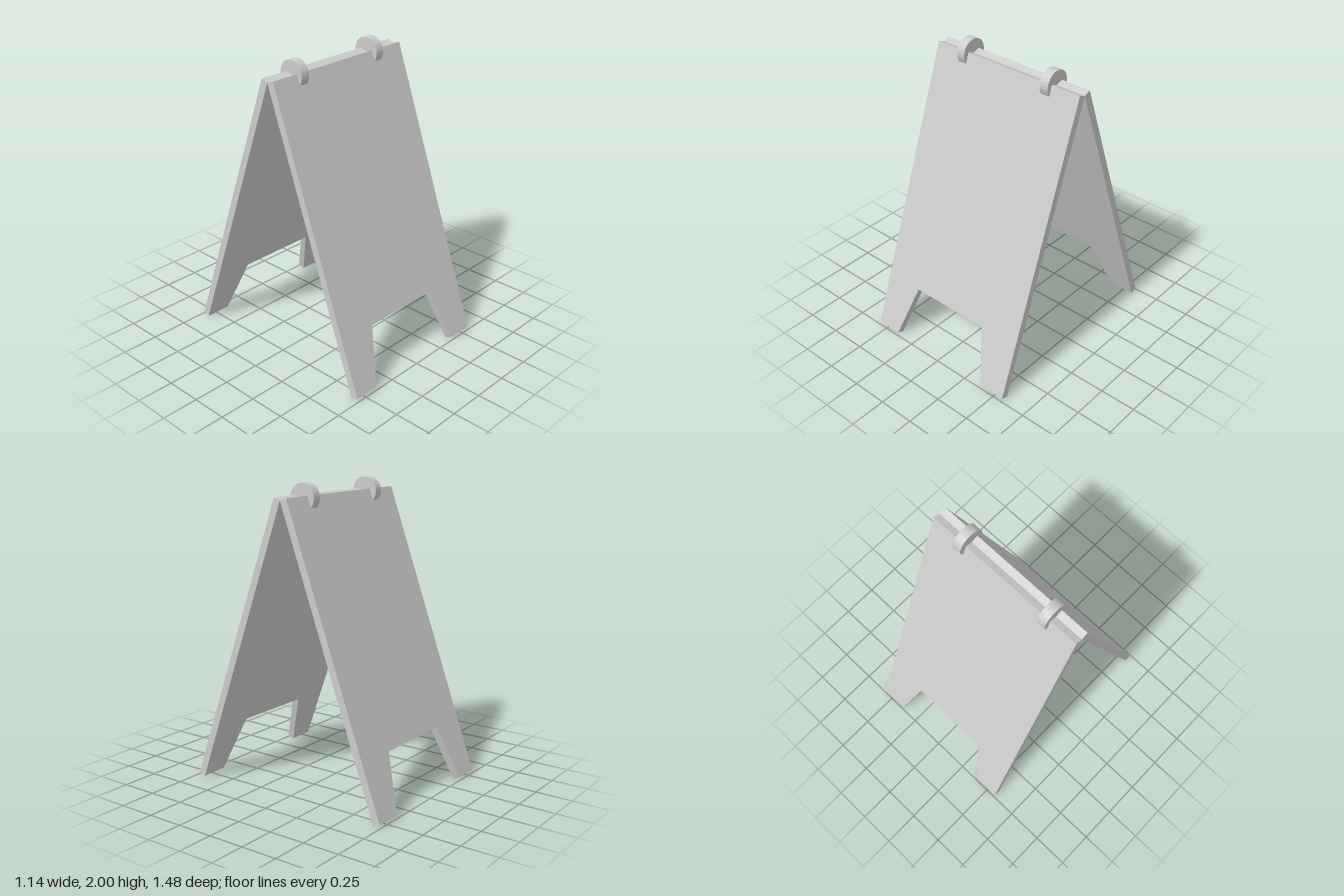
import * as THREE from 'three';

const TILT = THREE.MathUtils.degToRad(20);
const LENGTH = 2.027; // panel length along its slope
const THICKNESS = 0.05;
const APEX_Y = 1.905;

export function createModel() {
  const group = new THREE.Group();
  const material = new THREE.MeshStandardMaterial({ color: 0xcccccc });

  // Board outline, hanging down from the hinge line, with a notch between two feet
  const outline = new THREE.Shape([
    [-0.57, 0], [-0.57, -LENGTH], [-0.39, -LENGTH], [-0.295, -LENGTH + 0.378],
    [0.282, -LENGTH + 0.378], [0.382, -LENGTH], [0.57, -LENGTH], [0.57, 0],
  ].map(([x, y]) => new THREE.Vector2(x, y)));
  const boardGeometry = new THREE.ExtrudeGeometry(outline, { depth: THICKNESS, bevelEnabled: false });

  // Front board leans forward
  const frontBoard = new THREE.Mesh(boardGeometry, material);
  frontBoard.name = 'frontBoard';
  frontBoard.position.y = APEX_Y;
  frontBoard.rotation.x = -TILT;
  group.add(frontBoard);

  // Back board has the same outline, leaning the other way
  const backGeometry = boardGeometry.clone().translate(0, 0, -THICKNESS);
  const backBoard = new THREE.Mesh(backGeometry, material);
  backBoard.name = 'backBoard';
  backBoard.position.y = APEX_Y;
  backBoard.rotation.x = TILT;
  group.add(backBoard);

  // Two round hinges across the top edge
  const hingeGeometry = new THREE.CylinderGeometry(0.092, 0.092, 0.062, 32).rotateZ(Math.PI / 2);
  for (const [name, x] of [['rightHinge', -0.341], ['leftHinge', 0.331]]) {
    const hinge = new THREE.Mesh(hingeGeometry, material);
    hinge.name = name;
    hinge.position.set(x, 1.908, -0.004);
    group.add(hinge);
  }
  return group;
}
